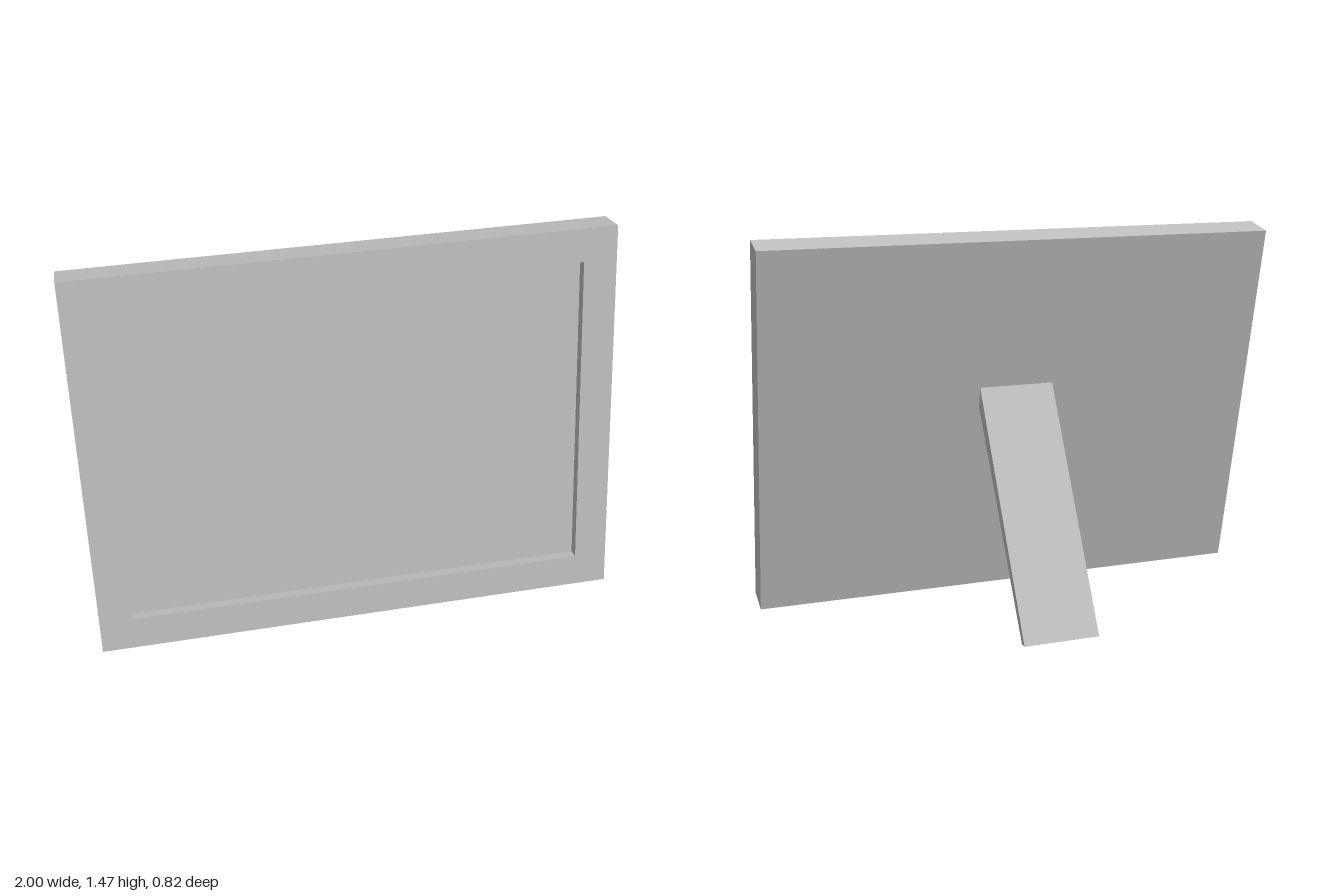
import * as THREE from 'three';

const WIDTH = 2, HEIGHT = 1.472, DEPTH = 0.125;
const BORDER = 0.125, RECESS = 0.04, TILT = 0.2087;

export function createModel() {
  const model = new THREE.Group();
  model.name = 'pictureFrame';
  const grey = new THREE.MeshStandardMaterial({ color: 0xc0c0c0 });
  grey.name = 'light grey';

  const add = (parent, name, geometry) => {
    const mesh = new THREE.Mesh(geometry, grey);
    mesh.name = name;
    parent.add(mesh);
    return mesh;
  };
  const polygon = (Type, points) => new Type(points.map(([x, y]) => new THREE.Vector2(x, y)));
  const rectangle = (Type, inset) => {
    const x = WIDTH / 2 - inset, top = HEIGHT - inset;
    return polygon(Type, [[-x, inset], [x, inset], [x, top], [-x, top]]);
  };

  // Leaning body, pivoting on its lower back edge
  const body = new THREE.Group();
  body.name = 'leaningBody';
  body.position.z = 0.286;
  body.rotation.x = -TILT;
  model.add(body);

  // Rim around the picture opening
  const rim = rectangle(THREE.Shape, 0);
  rim.holes.push(rectangle(THREE.Path, BORDER));
  add(body, 'rim', new THREE.ExtrudeGeometry(rim, { depth: DEPTH, bevelEnabled: false }));

  // Panel set back inside the rim and flush with its back
  const panelDepth = DEPTH - RECESS;
  add(body, 'recessedPanel', new THREE.BoxGeometry(WIDTH - 2 * BORDER, HEIGHT - 2 * BORDER, panelDepth))
    .position.set(0, HEIGHT / 2, panelDepth / 2);

  // Slanted support leg: side profile (z, y) extruded across x
  const legWidth = 0.296;
  const profile = polygon(THREE.Shape, [[-0.408, 0], [-0.378, 0], [0.121, 0.79], [0.104, 0.868]]);
  const leg = new THREE.ExtrudeGeometry(profile, { depth: legWidth, bevelEnabled: false });
  leg.translate(0, 0, -legWidth / 2).rotateY(-Math.PI / 2);
  add(model, 'supportLeg', leg);

  return model;
}
